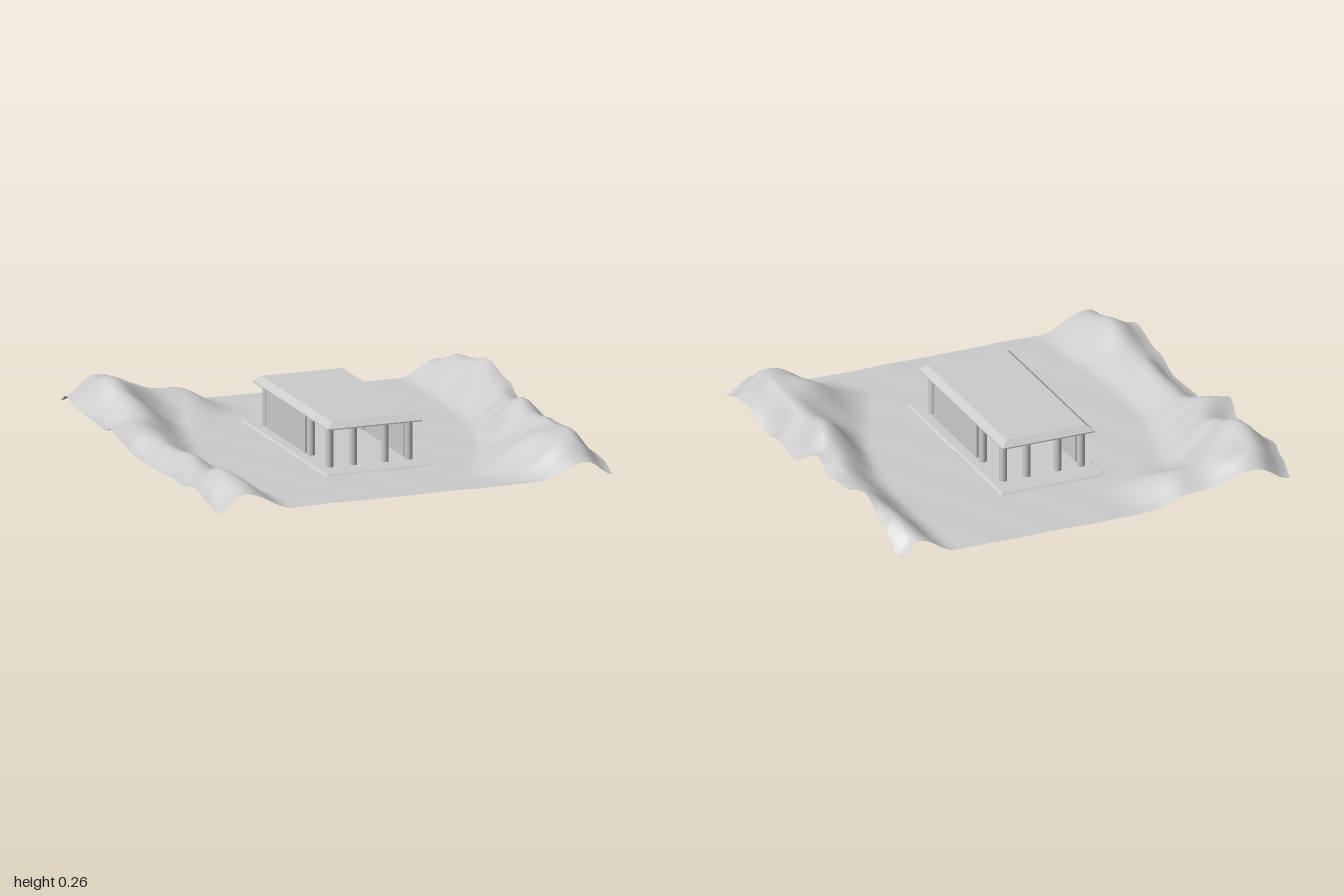
import * as THREE from 'three';

const GROUND = 0.028;
const mat = new THREE.MeshStandardMaterial({ color: 0xcccccc });
const thinMat = new THREE.MeshStandardMaterial({ color: 0xcccccc, side: THREE.DoubleSide });

// Ridge sections along z: z, foot x, crest x, crest height, edge x, edge height
const WEST = [
  [-0.97, 0.3, 0.8, 0.15, 0.95, 0.08],
  [-0.85, 0.38, 0.81, 0.22, 0.96, 0.12],
  [-0.7, 0.45, 0.83, 0.25, 0.99, 0.14],
  [-0.5, 0.52, 0.8, 0.2, 0.98, 0.11],
  [-0.35, 0.55, 0.82, 0.15, 0.97, 0.1],
  [-0.2, 0.6, 0.85, 0.16, 1.0, 0.13],
  [0, 0.64, 0.82, 0.1, 0.95, 0.05],
  [0.3, 0.65, 0.82, 0.13, 0.94, 0.05],
  [0.5, 0.62, 0.82, 0.12, 0.96, 0.07],
  [0.75, 0.58, 0.82, 0.16, 0.97, 0.1],
  [0.97, 0.58, 0.82, 0.11, 0.945, 0.03],
];
const EAST = [
  [-0.95, 0.7, 0.88, 0.11, 0.97, 0.04],
  [-0.8, 0.7, 0.93, 0.15, 0.975, 0.13],
  [-0.6, 0.7, 0.95, 0.18, 0.965, 0.18],
  [-0.35, 0.7, 0.94, 0.16, 0.98, 0.15],
  [-0.15, 0.68, 0.9, 0.12, 0.96, 0.1],
  [0, 0.66, 0.85, 0.15, 0.945, 0.13],
  [0.15, 0.62, 0.85, 0.2, 0.995, 0.06],
  [0.35, 0.55, 0.85, 0.17, 0.985, 0.07],
  [0.5, 0.45, 0.85, 0.17, 0.97, 0.03],
  [0.7, 0.36, 0.85, 0.21, 0.97, 0.07],
  [0.85, 0.42, 0.84, 0.17, 0.97, 0.07],
  [0.97, 0.6, 0.85, 0.1, 0.97, 0.03],
];

const smooth = (t) => t * t * (3 - 2 * t);

// Blend the two ridge sections on either side of z
function sectionAt(table, z) {
  let i = 0;
  while (i < table.length - 2 && z > table[i + 1][0]) i++;
  const a = table[i], b = table[i + 1];
  const t = smooth(THREE.MathUtils.clamp((z - a[0]) / (b[0] - a[0]), 0, 1));
  return a.map((v, k) => v + (b[k] - v) * t);
}

function ridgeHeight([, foot, crest, top, edge, low], d) {
  if (d <= foot) return GROUND;
  if (d <= crest) return GROUND + (top - GROUND) * smooth((d - foot) / (crest - foot));
  return top + (low - top) * smooth(Math.min(1, (d - crest) / (edge - crest)));
}

// Flat valley floor between two wavy ridges
function createTerrain() {
  const N = 72;
  const geo = new THREE.PlaneGeometry(2, 2, N, N).rotateX(-Math.PI / 2);
  const p = geo.attributes.position;
  for (let i = 0; i < p.count; i++) {
    const u = p.getX(i), v = p.getZ(i);
    const s = sectionAt(u < 0 ? WEST : EAST, v * 0.965);
    const x = u * s[4];
    let z = v * 0.965;
    if (v < 0) z += -v * (0.015 - 0.035 * Math.exp(-(((x + 0.8) / 0.2) ** 2)));
    let y = ridgeHeight(s, Math.abs(x));
    // Spur along the back edge
    y += 0.1 * Math.exp(-(((x + 0.43) / 0.13) ** 2) - ((z + 0.78) / 0.15) ** 2);
    // Small bumps, stronger on the hills
    const n = Math.sin(17 * x + 5 * z) * Math.sin(15 * z - 4 * x + 1);
    y += n * (0.002 + 0.09 * Math.max(0, y - GROUND));
    p.setXYZ(i, x, Math.max(y, 0.024), z);
  }
  geo.computeVertexNormals();
  return new THREE.Mesh(geo, thinMat);
}

// Rectangular slab whose top is inset from its bottom
function taperedSlab(w, d, h, inset) {
  const geo = new THREE.BoxGeometry(w, h, d);
  const p = geo.attributes.position;
  for (let i = 0; i < p.count; i++) {
    if (p.getY(i) < 0) continue;
    p.setX(i, p.getX(i) - Math.sign(p.getX(i)) * inset);
    p.setZ(i, p.getZ(i) - Math.sign(p.getZ(i)) * inset);
  }
  geo.computeVertexNormals();
  return geo;
}

export function createModel() {
  const model = new THREE.Group();
  const add = (name, geo, x, y, z, parent = model) => {
    const mesh = new THREE.Mesh(geo, mat);
    mesh.name = name;
    mesh.position.set(x, y, z);
    parent.add(mesh);
    return mesh;
  };

  const terrain = createTerrain();
  terrain.name = 'terrain';
  model.add(terrain);

  // Pavilion, slightly off the middle of the valley
  const pavilion = new THREE.Group();
  pavilion.name = 'pavilion';
  pavilion.position.set(0.012, 0, 0.007);
  model.add(pavilion);

  add('lowerStep', new THREE.BoxGeometry(0.525, 0.024, 1.05), 0, 0.012, 0, pavilion);
  add('upperStep', taperedSlab(0.525, 1.05, 0.012, 0.012), 0, 0.03, 0, pavilion);
  add('roofEaves', new THREE.BoxGeometry(0.455, 0.006, 0.925), 0, 0.228, 0, pavilion);
  add('roofSlope', taperedSlab(0.455, 0.925, 0.025, 0.032), 0, 0.2435, 0, pavilion);

  // Columns: four at each end, plus one on each long side
  const column = new THREE.CylinderGeometry(0.018, 0.018, 0.197, 20);
  for (const z of [-0.388, 0.388]) {
    for (const x of [-0.192, -0.077, 0.077, 0.192]) add('column', column, x, 0.13, z, pavilion);
  }
  // Side columns and long walls, turned half a circle for the second side
  for (const s of [1, -1]) {
    add('sideColumn', column, s * 0.192, 0.13, s * -0.165, pavilion);
    add('sideWall', new THREE.BoxGeometry(0.02, 0.197, 0.47), s * 0.195, 0.13, s * 0.11, pavilion);
  }
  return model;
}
